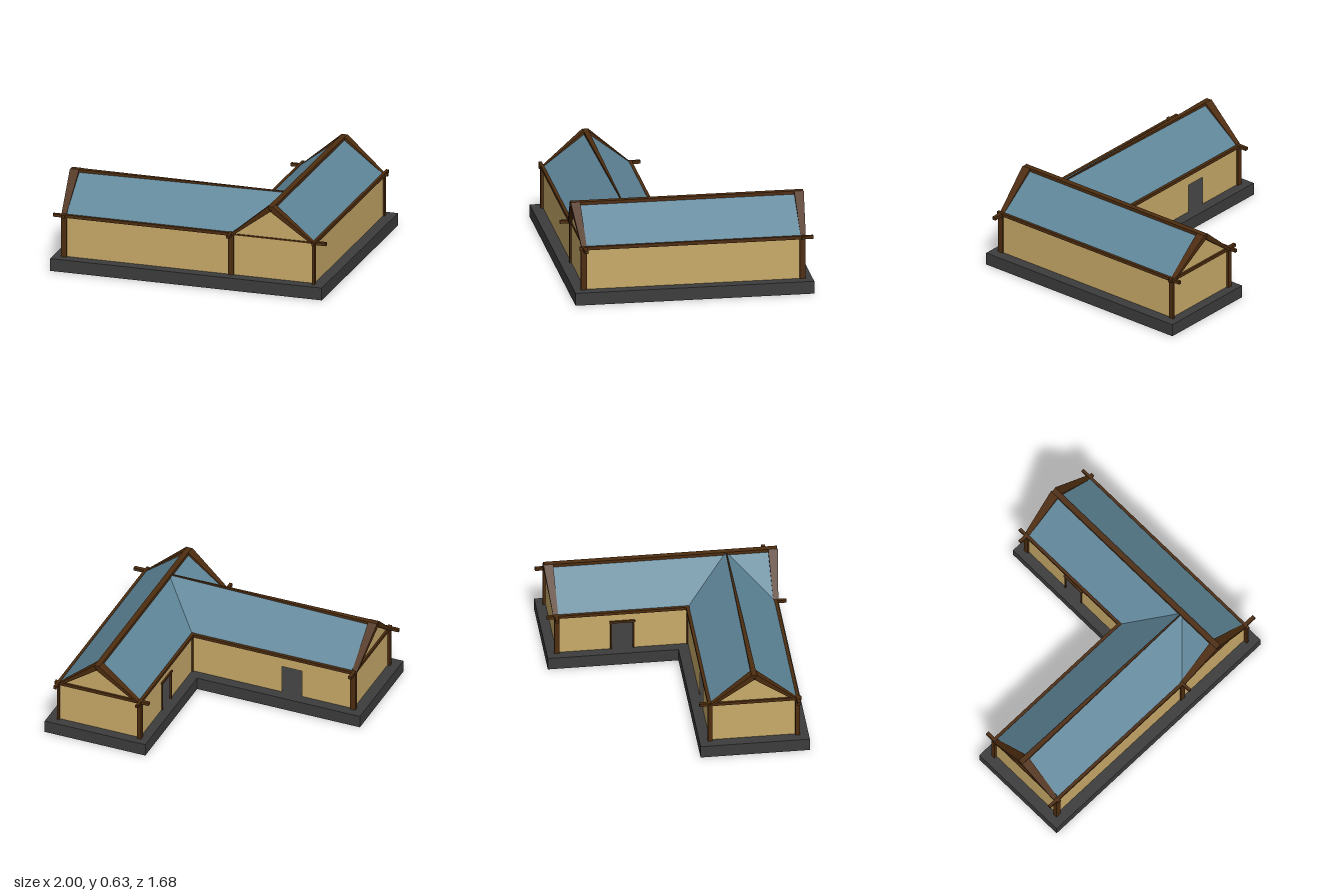
import * as THREE from 'three';

const mat = (name, color, side = THREE.FrontSide) => {
  const m = new THREE.MeshStandardMaterial({ color, side });
  m.name = name;
  return m;
};

export function createModel() {
  const model = new THREE.Group();
  model.name = 'lShapedHouse';
  const stone = mat('darkStone', 0x3c3c3d);
  const plaster = mat('ochrePlaster', 0xc9aa69, THREE.DoubleSide);
  const wood = mat('darkWood', 0x4e2d10);
  const slate = mat('blueRoof', 0x5f8699, THREE.DoubleSide);

  const BASE = 0.09, EAVE = 0.39, RIDGE = 0.627;
  const W = -0.92, E = 0.91, IN_X = 0.30, N = -0.77, S = 0.76, IN_Z = 0.15;
  const RX = 0.605, RZ = 0.455; // ridge lines of the two wings

  const add = (name, geometry, material, parent = model) => {
    const mesh = new THREE.Mesh(geometry, material);
    mesh.name = name;
    parent.add(mesh);
    return mesh;
  };

  // six-sided block whose corners (0/1 in each direction) are placed by a rule
  const block = (name, rule, parent) => {
    const g = new THREE.BoxGeometry(1, 1, 1);
    const p = g.attributes.position;
    for (let i = 0; i < p.count; i++) {
      p.setXYZ(i, ...rule(p.getX(i) + 0.5, p.getY(i) + 0.5, p.getZ(i) + 0.5));
    }
    g.computeVertexNormals();
    return add(name, g, wood, parent);
  };
  // straight timber between two opposite corners
  const timber = (name, a, b) => block(name, (i, j, k) =>
    [i, j, k].map((t, n) => a[n] + t * (b[n] - a[n])));

  // foundation slab
  const lShape = new THREE.Shape([[-1, -0.84], [0.99, -0.84], [0.99, 0.84],
    [0.23, 0.84], [0.23, -0.075], [-1, -0.075]].map(([x, y]) => new THREE.Vector2(x, y)));
  const slab = new THREE.ExtrudeGeometry(lShape, { depth: BASE, bevelEnabled: false });
  slab.rotateX(-Math.PI / 2);
  add('foundation', slab, stone);

  // thin wall from a to b, outline may hold a doorway and a gable
  const wall = (name, [ax, az], [bx, bz], door, gable) => {
    const len = Math.hypot(bx - ax, bz - az);
    const pts = [[0, BASE]];
    if (door) {
      const [d, h] = door;
      pts.push([d - 0.077, BASE], [d - 0.077, h], [d + 0.077, h], [d + 0.077, BASE]);
    }
    pts.push([len, BASE], [len, EAVE]);
    if (gable) pts.push([len - 0.305, 0.615], [len - 0.61, EAVE]);
    pts.push([0, EAVE]);
    const g = new THREE.ShapeGeometry(new THREE.Shape(pts.map(([x, y]) => new THREE.Vector2(x, y))));
    const mesh = add(name, g, plaster);
    mesh.position.set(ax, 0, az);
    mesh.rotation.y = Math.atan2(az - bz, bx - ax);
  };
  wall('frontWall', [W, S], [E, S], null, true);
  wall('leftWall', [E, S], [E, N]);
  wall('backGableWall', [E, N], [IN_X, N], null, true);
  wall('courtWallLeft', [IN_X, N], [IN_X, IN_Z], [0.46, 0.31]);
  wall('courtWallFront', [IN_X, IN_Z], [W, IN_Z], [0.755, 0.30]);
  wall('rightGableWall', [W, IN_Z], [W, S], null, true);

  // roof slopes as flat polygons, corners listed counter-clockwise from outside
  const slope = (name, pts) => {
    const g = new THREE.BufferGeometry();
    g.setAttribute('position', new THREE.Float32BufferAttribute(pts.flat(), 3));
    const index = [];
    for (let i = 1; i < pts.length - 1; i++) index.push(0, i, i + 1);
    g.setIndex(index);
    g.computeVertexNormals();
    add(name, g, slate);
  };
  const e = EAVE + 0.003, r = RIDGE;
  slope('leftRoof', [[RX, r, N], [RX, r, S], [E, e, S], [E, e, N]]);
  slope('courtRoofLeft', [[RX, r, N], [IN_X, e, N], [IN_X, e, IN_Z], [RX, r, RZ]]);
  slope('frontRoofCorner', [[RX, r, RZ], [IN_X, e, S], [RX, r, S]]);
  slope('frontRoof', [[RX, r, RZ], [W, r, RZ], [W + 0.015, e, S], [IN_X, e, S]]);
  slope('courtRoofFront', [[RX, r, RZ], [IN_X, e, IN_Z], [W + 0.015, e, IN_Z], [W, r, RZ]]);

  // paired rafters flaring outward towards the ridge
  const gableTrim = (name, x, z, angle) => {
    const g = new THREE.Group();
    g.name = name;
    g.position.set(x, 0, z);
    g.rotation.y = angle;
    model.add(g);
    for (const side of [-1, 1]) {
      block('rafter', (i, j, k) => {
        const inner = side < 0 ? i : 1 - i;
        const s = j ? (inner ? 0 : 0.02) : (inner ? 0.288 : 0.316);
        const y = j ? (inner ? 0.6 : 0.635) : 0.384;
        return [side * s, y, k ? (j ? 0.055 : 0.022) : -0.012];
      }, g);
    }
  };
  gableTrim('frontGableTrim', RX, S, 0);
  gableTrim('backGableTrim', RX, N, Math.PI);
  gableTrim('rightGableTrim', W, RZ, -Math.PI / 2);

  // ridge beams, the front one tapering to the junction
  timber('mainRidgeBeam', [0.585, 0.612, -0.82], [0.625, 0.635, 0.81]);
  block('frontRidgeBeam', (i, j, k) => {
    const half = i ? 0.003 : 0.019;
    return [i ? 0.6 : -0.972, j ? 0.634 : 0.612, RZ + (k ? half : -half)];
  });

  // eave and tie beams with projecting ends
  const y0 = 0.378, y1 = 0.4;
  timber('frontEaveBeam', [-1, y0, 0.755], [0.305, y1, 0.777]);
  timber('frontTieBeam', [0.3, 0.382, 0.757], [0.91, 0.392, 0.768]);
  timber('frontBeamEnd', [0.9, y0, 0.75], [1, y1, 0.777]);
  timber('leftEaveBeam', [0.902, y0, -0.845], [0.922, 0.402, 0.8]);
  timber('courtEaveBeamLeft', [0.285, y0, -0.84], [0.306, y1, 0.16]);
  timber('courtEaveBeamFront', [W, y0, 0.135], [0.306, y1, 0.157]);
  timber('rightTieBeam', [-0.935, y0, 0.075], [-0.91, y1, 0.79]);
  timber('backTieBeam', [0.23, y0, -0.785], [0.94, y1, -0.76]);
  timber('frontMiddleBeamEnd', [0.29, y0, 0.75], [0.312, y1, 0.84]);

  // corner posts
  for (const [x, z, w, d] of [
    [-0.92, 0.762, 0.04, 0.03], [0.30, 0.762, 0.04, 0.02], [0.912, 0.77, 0.016, 0.04],
    [0.912, -0.77, 0.016, 0.04], [0.30, -0.77, 0.03, 0.035], [-0.92, 0.15, 0.04, 0.03],
    [0.297, 0.147, 0.012, 0.012],
  ]) timber('cornerPost', [x - w / 2, BASE, z - d / 2], [x + w / 2, EAVE, z + d / 2]);

  // frame of the doorway in the court wall
  timber('doorLintel', [0.288, 0.305, -0.4], [0.306, 0.32, -0.22]);
  timber('doorJamb', [0.292, BASE, -0.236], [0.304, 0.31, -0.226]);
  timber('doorJamb', [0.292, BASE, -0.394], [0.304, 0.31, -0.384]);

  return model;
}
